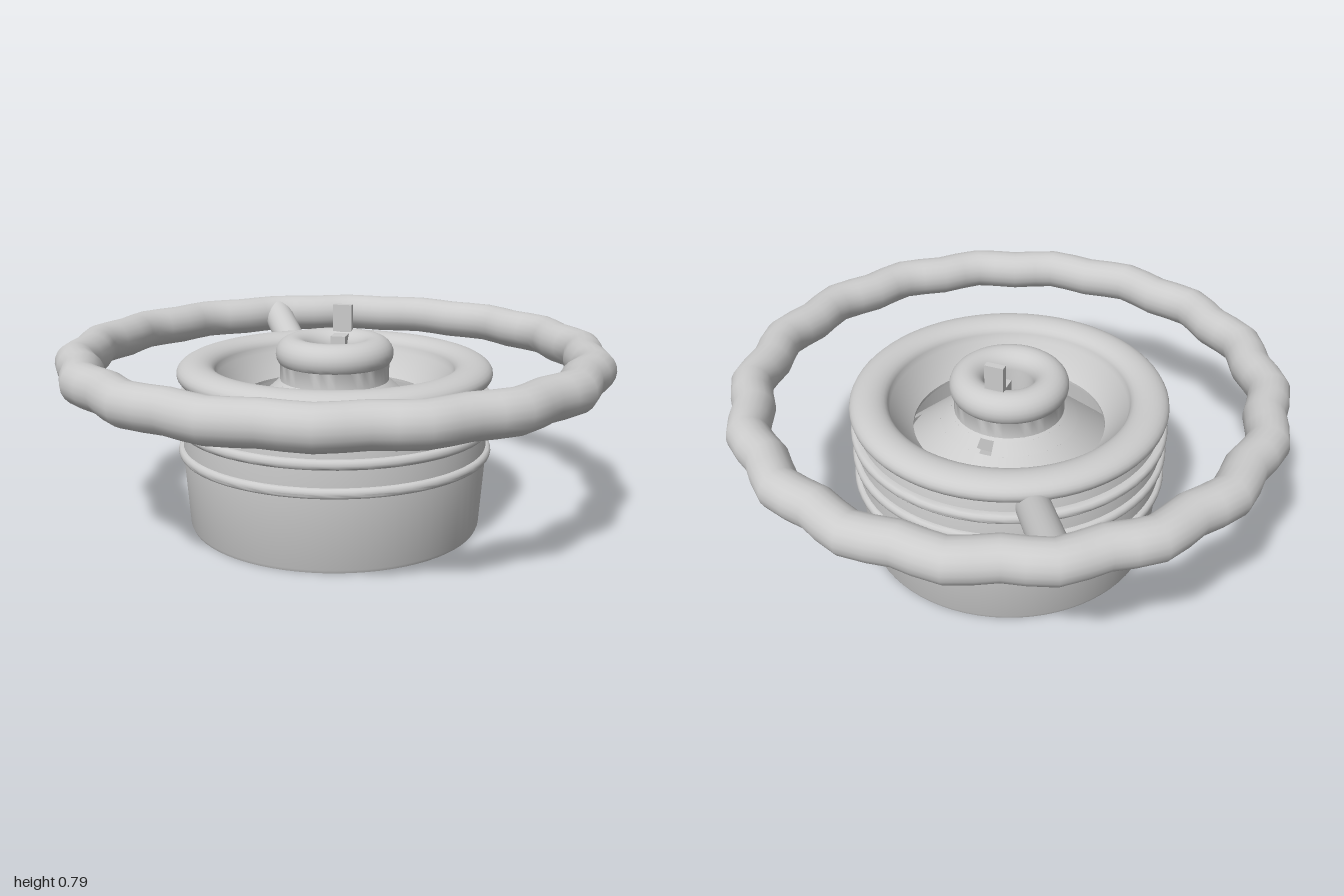
import * as THREE from 'three';
import { toCreasedNormals } from 'three/addons/utils/BufferGeometryUtils.js';

export function createModel() {
  const model = new THREE.Group();
  const gray = new THREE.MeshStandardMaterial({ color: 0xcccccc, side: THREE.DoubleSide });
  gray.name = 'light gray';

  const add = (name, geometry) => {
    const mesh = new THREE.Mesh(geometry, gray);
    mesh.name = name;
    model.add(mesh);
    return mesh;
  };
  const v2 = (p) => new THREE.Vector2(p[0], p[1]);
  const turn = (name, pts, start = 0, sweep = Math.PI * 2, segments = 72) =>
    add(name, toCreasedNormals(new THREE.LatheGeometry(pts.map(v2), segments, start, sweep), 0.6));
  // points on an arc in the radius/height plane, angles in degrees
  const arc = (r, y, rr, ry, from, to, n = 8) =>
    Array.from({ length: n + 1 }, (_, i) => {
      const a = THREE.MathUtils.degToRad(from + ((to - from) * i) / n);
      return [r + rr * Math.cos(a), y + ry * Math.sin(a)];
    });

  // Wavy hand ring with 18 finger grips
  const ringPoints = Array.from({ length: 72 }, (_, i) => {
    const a = (i / 72) * Math.PI * 2;
    const r = 0.913 + 0.014 * Math.cos(18 * a);
    return new THREE.Vector3(r * Math.cos(a), 0.62, r * Math.sin(a));
  });
  add('handRing', new THREE.TubeGeometry(new THREE.CatmullRomCurve3(ringPoints, true), 72, 0.0745, 20, true));

  // Hollow drum with a rounded, overhanging lip
  turn('drum', [
    [0.515, 0], [0.535, 0], [0.54, 0.012], [0.558, 0.27], [0.556, 0.46], [0.54, 0.535],
    ...arc(0.505, 0.575, 0.07, 0.045, -30, 170, 14),
    [0.43, 0.56], [0.35, 0.475], [0.35, 0.465], [0.47, 0.46], [0.49, 0.28], [0.515, 0],
  ]);

  // Three raised bands around the drum
  for (const y of [0.29, 0.388, 0.48]) {
    turn('band', [[0.545, y - 0.018], ...arc(0.562, y, 0.014, 0.018, -90, 90, 6), [0.545, y + 0.018]]);
  }

  // Sloping inner floor, made of rings with gaps that leave the holes open
  const floorY = (r) => 0.53 - (r - 0.21) * 0.9;
  const floorRing = (r0, r1, holes = 0, gap = 0) => {
    const profile = [
      [r0, floorY(r0) - 0.05], [r1, floorY(r1) - 0.05],
      [r1, floorY(r1)], [r0, floorY(r0)], [r0, floorY(r0) - 0.05],
    ];
    if (!holes) return turn('floor', profile);
    const step = (Math.PI * 2) / holes;
    for (let i = 0; i < holes; i++) turn('floor', profile, i * step + gap / 2, step - gap, 72 / holes);
  };
  floorRing(0.17, 0.21);
  floorRing(0.21, 0.25, 2, 0.24);
  floorRing(0.25, 0.38);
  floorRing(0.38, 0.45, 4, 0.22);
  floorRing(0.45, 0.5);

  // Central tube with rounded ends
  turn('hub', [
    [0.09, 0.11], ...arc(0.155, 0.11, 0.065, 0.05, 180, 360, 12),
    [0.215, 0.44], [0.2, 0.54], [0.2, 0.6],
    ...arc(0.152, 0.637, 0.063, 0.06, -35, 180, 14), [0.09, 0.11],
  ], 0, Math.PI * 2, 48);

  // Upright tab on the hub with its foot reaching over the bore
  add('tab', new THREE.BoxGeometry(0.07, 0.17, 0.025)).position.set(0, 0.705, -0.132);
  add('tabFoot', new THREE.BoxGeometry(0.055, 0.06, 0.075)).position.set(0, 0.655, -0.085);

  // Single slanted spoke from the drum to the ring
  const dir = new THREE.Vector3(-0.5, 0, -0.866);
  const inner = dir.clone().multiplyScalar(0.36).setY(0.455);
  const outer = dir.clone().multiplyScalar(0.91).setY(0.625);
  add('spoke', new THREE.TubeGeometry(new THREE.LineCurve3(inner, outer), 1, 0.06, 24, false));
  const cap = add('spokeEnd', new THREE.CircleGeometry(0.06, 24));
  cap.position.copy(inner);
  cap.lookAt(inner.clone().multiplyScalar(2).sub(outer));

  return model;
}
